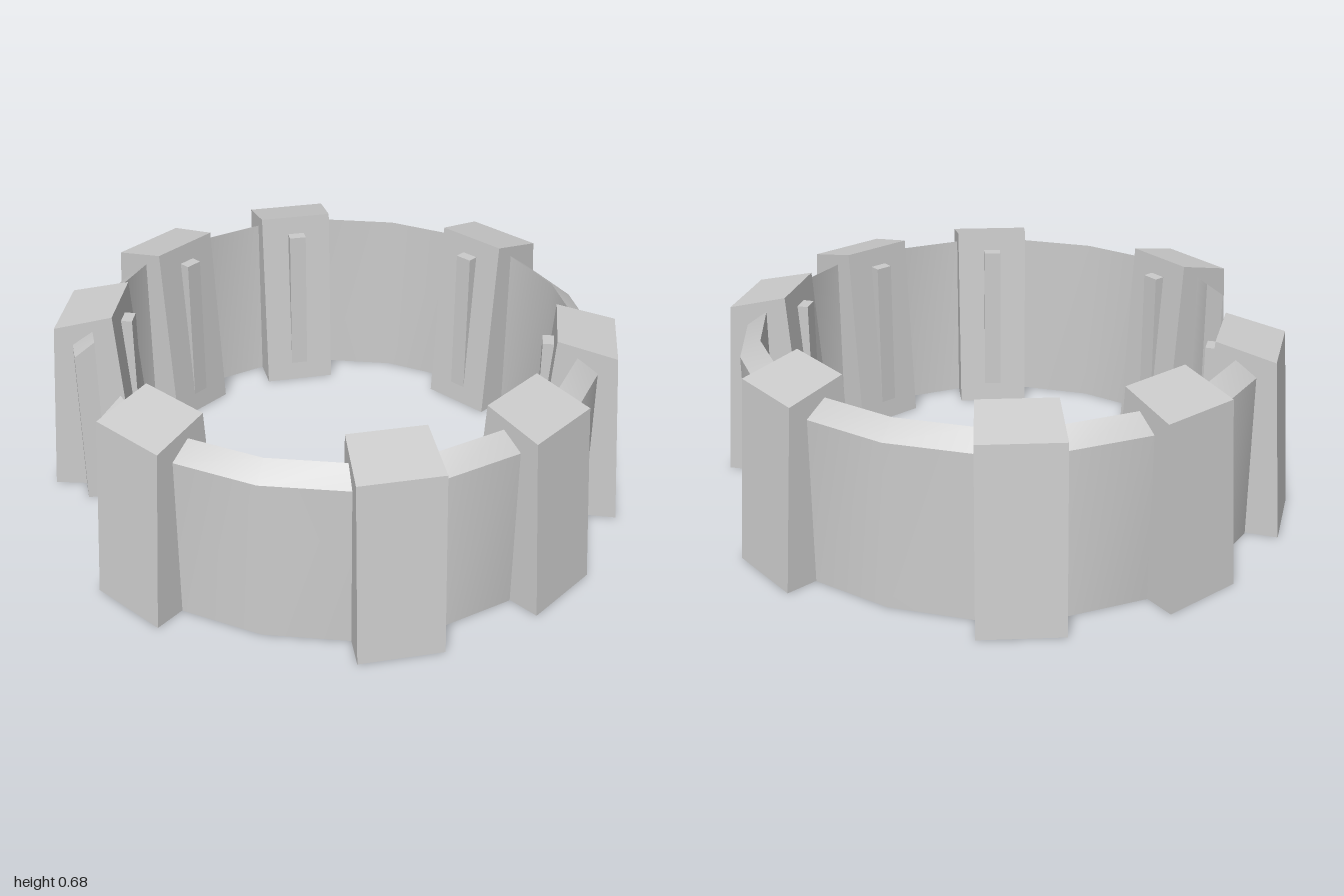
import * as THREE from 'three';
import { toCreasedNormals } from 'three/addons/utils/BufferGeometryUtils.js';

const material = new THREE.MeshStandardMaterial({ color: 0xcccccc });
const STEP = Math.PI / 10; // the ring has 20 sides

// Box whose corners are moved to (halfWidth, y, radius) given by a rule
function shapedBox(rule) {
  const geo = new THREE.BoxGeometry(1, 1, 1);
  const p = geo.attributes.position;
  for (let i = 0; i < p.count; i++) {
    const [half, y, r] = rule(p.getY(i) > 0, p.getZ(i) > 0);
    p.setXYZ(i, Math.sign(p.getX(i)) * half, y, r);
  }
  geo.computeVertexNormals();
  return geo;
}

// Open ring wall, swept from a cross-section with a sloping top
function wallGeometry() {
  const section = [[0.82, 0], [0.89, 0], [0.89, 0.573], [0.82, 0.626]];
  const at = (k, r) => [r * Math.sin(k * STEP), r * Math.cos(k * STEP)];
  const pos = [];
  const index = [];
  // short stubs run on straight past both ends of the gap
  const addRing = (k, next, t) => section.forEach(([r, y]) => {
    const a = at(k, r), b = at(next, r);
    pos.push(a[0] + (b[0] - a[0]) * t, y, a[1] + (b[1] - a[1]) * t);
  });
  addRing(0, -1, 0.3);
  for (let k = 0; k <= 18; k++) addRing(k, k, 0);
  addRing(18, 19, 0.3);

  const rings = pos.length / 12;
  for (let i = 0; i < rings - 1; i++) {
    for (let j = 0; j < 4; j++) {
      const n = (j + 1) % 4;
      const a = i * 4 + j, b = a + 4, c = (i + 1) * 4 + n, d = i * 4 + n;
      index.push(a, b, c, a, c, d);
    }
  }
  const e = (rings - 1) * 4;
  index.push(0, 1, 2, 0, 2, 3, e, e + 3, e + 2, e, e + 2, e + 1);

  const geo = new THREE.BufferGeometry();
  geo.setAttribute('position', new THREE.Float32BufferAttribute(pos, 3));
  geo.setIndex(index);
  return toCreasedNormals(geo, Math.PI / 6);
}

export function createModel() {
  const group = new THREE.Group();

  const wall = new THREE.Mesh(wallGeometry(), material);
  wall.name = 'ringWall';
  group.add(wall);

  // Pillar: wedge in plan, inner and outer faces lean together, top slopes outward
  const pillarGeo = shapedBox((top, outer) => {
    const r = outer ? (top ? 0.94 : 0.99) : (top ? 0.74 : 0.692);
    const y = top ? (outer ? 0.632 : 0.682) : 0;
    return [0.125 + (r - 0.692) * 0.05, y, r];
  });
  // Upright rib that emerges from the leaning inner face
  const ribGeo = shapedBox((top, outer) => [0.03, top ? 0.615 : 0.07, outer ? 0.76 : 0.697]);

  // Side numbers of the ring that carry a pillar
  [0, 3, 5, 7, 10, 13, 15, 17].forEach((side) => {
    const pillar = new THREE.Group();
    pillar.name = 'pillar';
    const body = new THREE.Mesh(pillarGeo, material);
    body.name = 'pillarBody';
    const rib = new THREE.Mesh(ribGeo, material);
    rib.name = 'innerRib';
    pillar.add(body, rib);
    pillar.rotation.y = (side + 0.5) * STEP;
    group.add(pillar);
  });

  return group;
}
